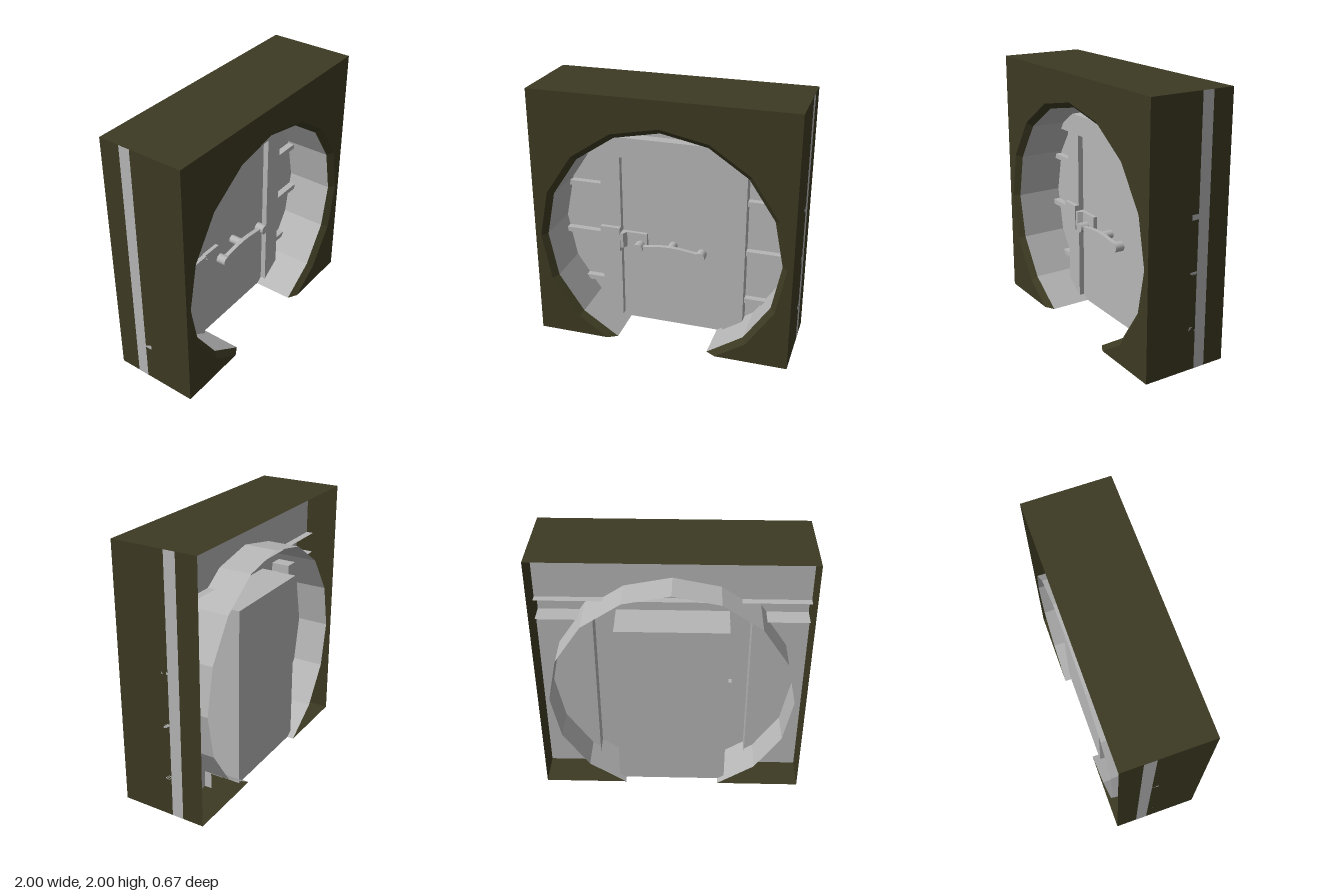
import * as THREE from 'three';

export function createModel() {
  const root = new THREE.Group();
  const olive = new THREE.MeshStandardMaterial({ color: 0x3c3a22, side: THREE.DoubleSide });
  const grey = new THREE.MeshStandardMaterial({ color: 0xb6b6b6, side: THREE.DoubleSide });
  olive.name = 'olive shell';
  grey.name = 'grey metal';

  const add = (name, geo, mat, x = 0, y = 0, z = 0) => {
    const m = new THREE.Mesh(geo, mat);
    m.name = name;
    m.position.set(x, y, z);
    root.add(m);
    return m;
  };
  // box from its limits
  const box = (name, mat, x0, x1, y0, y1, z0, z1) =>
    add(name, new THREE.BoxGeometry(x1 - x0, y1 - y0, z1 - z0), mat, (x0 + x1) / 2, (y0 + y1) / 2, (z0 + z1) / 2);
  // flat-shaded sheet between two rows of 3D points
  const loft = (A, B) => {
    const p = [];
    for (let i = 0; i + 1 < A.length; i++) p.push(...A[i], ...A[i + 1], ...B[i + 1], ...A[i], ...B[i + 1], ...B[i]);
    const g = new THREE.BufferGeometry();
    g.setAttribute('position', new THREE.Float32BufferAttribute(p, 3));
    g.computeVertexNormals();
    return g;
  };
  // sheet that carries a 2D path from z0 to z1
  const wall = (pts, z0, z1) => loft(pts.map(([x, y]) => [x, y, z0]), pts.map(([x, y]) => [x, y, z1]));
  const flat = (pts) => new THREE.ShapeGeometry(new THREE.Shape(pts.map(([x, y]) => new THREE.Vector2(x, y))));

  // sixteen-sided arch, cut off at the ground; runs right, top, left
  const CY = 0.835;
  const arch = (r) => {
    const at = (k) => [r * Math.cos(k * Math.PI / 8), CY + r * Math.sin(k * Math.PI / 8)];
    const [a, b] = [at(-2), at(-3)];
    const cut = a[0] + (b[0] - a[0]) * Math.min(1, a[1] / (a[1] - b[1]));
    const pts = [[cut, 0]];
    for (let k = -2; k <= 10; k++) pts.push(at(k));
    pts.push([-cut, 0]);
    return pts;
  };
  const outer = arch(0.957), inner = arch(0.915);
  const F = 0.333, RIM = 0.29;

  // outer shell, open at the back
  add('shellFront', flat([[1, 0], [1, 2], [-1, 2], [-1, 0], ...outer.slice().reverse()]), olive, 0, 0, F);
  add('shellSidesAndTop', wall([[1, 0], [1, 2], [-1, 2], [-1, 0]], F, -F), olive);
  add('archBevel', loft(outer.map(([x, y]) => [x, y, F]), inner.map(([x, y]) => [x, y, RIM])), olive);
  for (const s of [1, -1]) {
    const edge = [[s * outer[0][0], 0, F], [s * inner[0][0], 0, RIM], [s * inner[0][0], 0, -F]];
    add('shellFloor', loft(edge, edge.map((p) => [s, 0, p[2]])), olive);
  }

  // round tunnel lining
  add('tunnelRing', wall(inner, RIM, -F), grey);

  // inner wall panels and their side skirts
  const WZ = -0.078, FZ = 0.012, BZ = -0.135;
  add('upperWall', flat([[-1, 1.58], [1, 1.58], [1, 2], [-1, 2]]), grey, 0, 0, WZ);
  for (const s of [1, -1]) {
    const [a, b] = s > 0 ? [0.58, 1] : [-1, -0.58];
    add('sideWall', flat([[a, 0], [b, 0], [b, 1.42], [a, 1.42]]), grey, 0, 0, WZ);
    add('sideSkirt', wall([[s * 1.001, 0], [s * 1.001, 2]], WZ, -0.168), grey);
    // horizontal ribs
    for (const y of [0.315, 0.73, 1.147]) box('sideRib', grey, a, b, y - 0.02, y + 0.02, WZ, -0.025);
  }

  // hollow door frame: header beam and two posts
  add('frameFront', flat([[-1, 1.42], [-0.58, 1.42], [-0.58, 0], [-0.42, 0], [-0.42, 1.42], [0.42, 1.42],
    [0.42, 0], [0.58, 0], [0.58, 1.42], [1, 1.42], [1, 1.58], [-1, 1.58]]), grey, 0, 0, FZ);
  add('frameTop', wall([[-1, 1.58], [1, 1.58]], FZ, BZ), grey);
  for (const s of [1, -1]) add('frameOuterEdge', wall([[s * 0.58, 0], [s * 0.58, 1.42], [s, 1.42]], FZ, BZ), grey);
  add('frameInnerEdge', wall([[-0.42, 0], [-0.42, 1.42], [0.42, 1.42], [0.42, 0]], FZ, BZ), grey);

  // thick door
  box('door', grey, -0.418, 0.418, 0.002, 1.418, -0.28, -0.03);

  // latch: plate on the post and stepped bolt
  box('latchPlate', grey, -0.58, -0.42, 0.63, 0.835, FZ, 0.047);
  const bolt = new THREE.Shape([[-0.46, -0.035], [-0.21, -0.035], [-0.21, 0], [-0.375, 0], [-0.395, 0.04], [-0.46, 0.04]]
    .map(([x, z]) => new THREE.Vector2(x, z)));
  const boltGeo = new THREE.ExtrudeGeometry(bolt, { depth: 0.125, bevelEnabled: false });
  boltGeo.rotateX(Math.PI / 2);
  add('latchBolt', boltGeo, grey, 0, 0.79, 0);

  // handle: spindle, swelling bar and two end knobs
  const HY = 0.712;
  const rod = (name, x, r, z0, z1) => {
    const g = new THREE.CylinderGeometry(r, r, z1 - z0, 12);
    g.rotateX(Math.PI / 2);
    add(name, g, grey, x, HY, (z0 + z1) / 2);
  };
  rod('handleSpindle', 0, 0.034, -0.03, 0.07);
  rod('handleKnob', -0.25, 0.039, 0.04, 0.115);
  rod('handleKnob', 0.25, 0.039, 0.04, 0.115);
  const bar = new THREE.Shape([[-0.25, -0.018], [-0.2, -0.02], [-0.08, -0.036], [0, -0.04], [0.08, -0.036], [0.2, -0.02],
    [0.25, -0.018], [0.25, 0.018], [0.2, 0.02], [0.08, 0.036], [0, 0.04], [-0.08, 0.036], [-0.2, 0.02], [-0.25, 0.018]]
    .map(([x, y]) => new THREE.Vector2(x, y)));
  add('handleBar', new THREE.ExtrudeGeometry(bar, { depth: 0.035, bevelEnabled: false }), grey, 0, HY, 0.06);

  return root;
}
